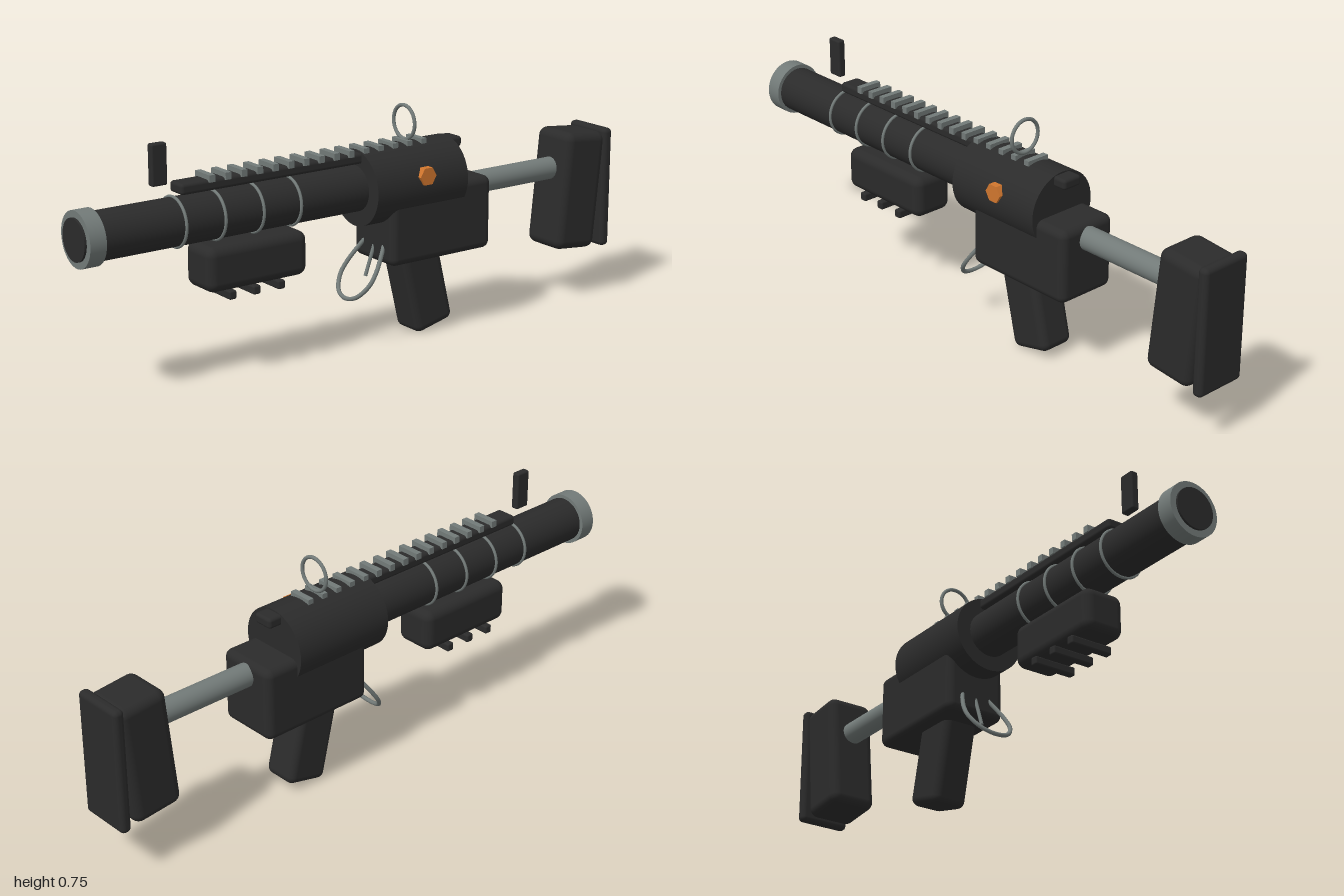
import * as THREE from 'three';
import { RoundedBoxGeometry } from 'three/addons/geometries/RoundedBoxGeometry.js';

const black = new THREE.MeshStandardMaterial({ name: 'black polymer', color: 0x2b2b2b });
const steel = new THREE.MeshStandardMaterial({ name: 'grey steel', color: 0x727a78 });
const orange = new THREE.MeshStandardMaterial({ name: 'orange', color: 0xd0762e });

const AXIS_Y = 0.513;

export function createModel() {
  const model = new THREE.Group();
  model.name = 'launcher';
  model.position.x = -0.0045;

  const add = (name, geometry, material, x, y, z, tilt = 0) => {
    const mesh = new THREE.Mesh(geometry, material);
    mesh.name = name;
    mesh.position.set(x, y, z);
    mesh.rotation.x = tilt;
    model.add(mesh);
    return mesh;
  };
  const block = (name, w, h, d, r, y, z, tilt) =>
    add(name, new RoundedBoxGeometry(w, h, d, 4, r), black, 0, y, z, tilt);
  // Cylinder along z between two stations
  const rod = (name, r, z0, z1, y, material) =>
    add(name, new THREE.CylinderGeometry(r, r, z1 - z0, 48).rotateX(Math.PI / 2), material, 0, y, (z0 + z1) / 2);

  // Barrel, muzzle and receiver
  rod('barrel', 0.074, -0.02, 0.96, AXIS_Y, black);
  rod('muzzleCollar', 0.086, 0.94, 0.993, AXIS_Y, steel);
  rod('muzzleBore', 0.065, 0.97, 1, AXIS_Y, black);
  rod('receiver', 0.1225, -0.345, 0.01, AXIS_Y, black);
  for (const z of [0.67, 0.535, 0.4, 0.265]) {
    add('barrelBand', new THREE.TorusGeometry(0.076, 0.005, 8, 48), steel, 0, AXIS_Y, z);
  }

  // Top rail with evenly spaced teeth
  block('rail', 0.07, 0.034, 1.05, 0.01, 0.613, 0.135);
  for (let i = 0; i < 15; i++) {
    add('railTooth', new THREE.BoxGeometry(0.08, 0.022, 0.02), steel, 0, 0.634, 0.557 - i * 0.0563);
  }

  // Sights
  add('rearSightRing', new THREE.TorusGeometry(0.054, 0.006, 10, 48), steel, 0, 0.698, -0.182);
  block('frontSightPost', 0.026, 0.127, 0.052, 0.006, 0.694, 0.718);

  // Side knob on the left
  add('sideKnob', new THREE.CylinderGeometry(0.031, 0.031, 0.04, 6).rotateZ(Math.PI / 2).toNonIndexed(),
    orange, 0.11, 0.547, -0.18).geometry.computeVertexNormals();

  // Lower body, grip and trigger
  block('lowerBody', 0.21, 0.242, 0.4, 0.025, 0.383, -0.26);
  block('grip', 0.122, 0.33, 0.15, 0.025, 0.179, -0.235, 0.235);
  const half = [[0.045, 0.335], [0.062, 0.297], [0.078, 0.25], [0.078, 0.212], [0.048, 0.172]];
  const outline = [...half, [0, 0.159], ...half.map(([x, y]) => [-x, y]).reverse()];
  const guardCurve = new THREE.CatmullRomCurve3(
    outline.map(([x, y]) => new THREE.Vector3(x, y, 0.048 - (y - 0.159) * 0.69)));
  add('triggerGuard', new THREE.TubeGeometry(guardCurve, 64, 0.007, 8), steel, 0, 0, 0);
  add('trigger', new THREE.CylinderGeometry(0.006, 0.006, 0.11, 12), steel, 0, 0.27, -0.049, -0.34);

  // Foregrip with ribs underneath
  block('foregrip', 0.142, 0.141, 0.358, 0.03, 0.358, 0.414);
  for (const z of [0.513, 0.427, 0.338]) block('foregripRib', 0.148, 0.028, 0.026, 0.006, 0.276, z);

  // Shoulder stock
  rod('stockTube', 0.0375, -0.86, -0.42, 0.457, steel);
  block('stock', 0.166, 0.4, 0.172, 0.03, 0.379, -0.876, -0.1);
  block('buttPad', 0.178, 0.41, 0.036, 0.015, 0.378, -0.982);

  return model;
}
